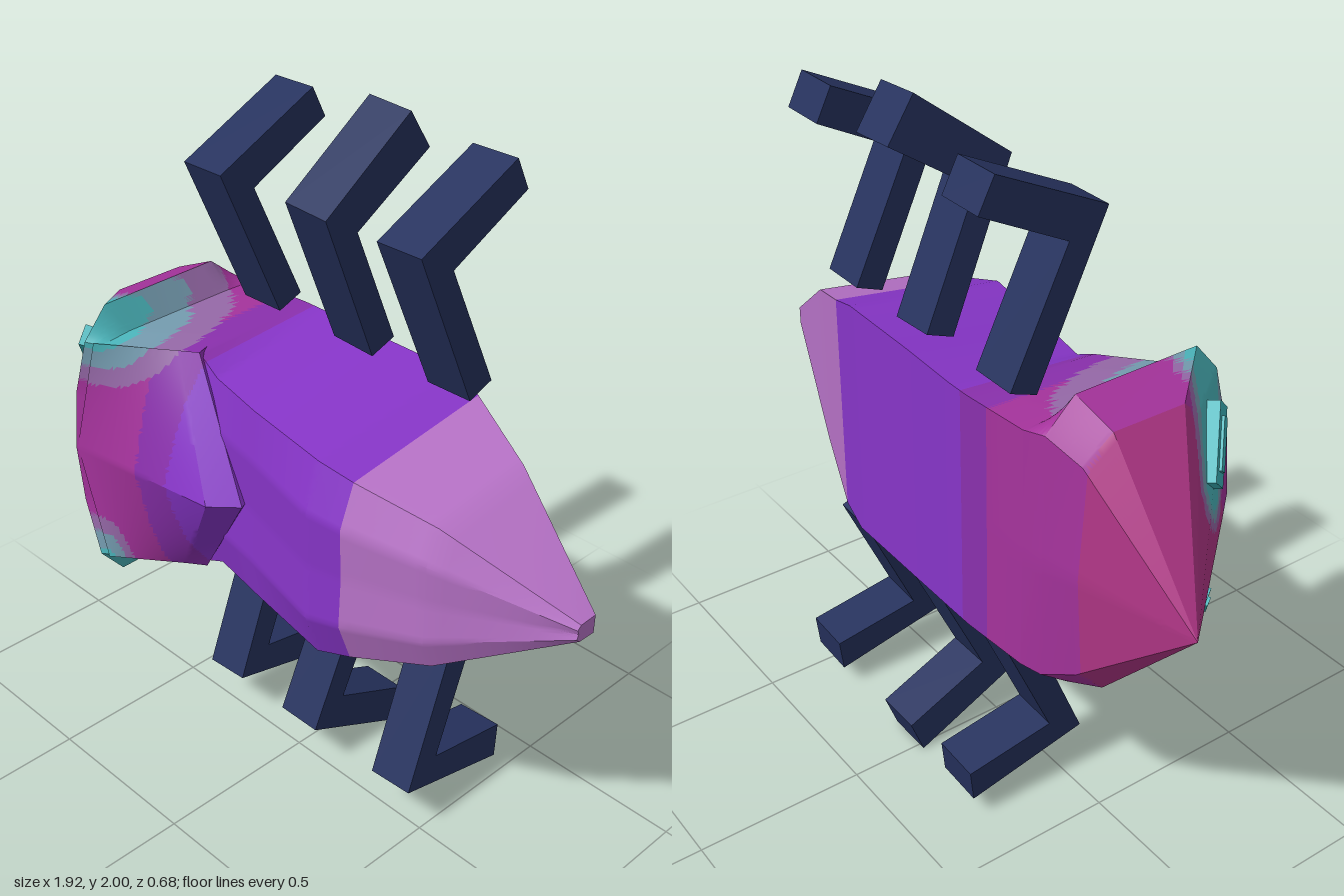
import * as THREE from 'three';
import { toCreasedNormals } from 'three/addons/utils/BufferGeometryUtils.js';

const CY = 0.965; // height of the body's long axis

const paint = (name, color) => {
  const m = new THREE.MeshStandardMaterial({ color });
  m.name = name;
  return m;
};

const skin = [
  paint('purple shell', 0x8735c8),
  paint('plum shell', 0x8a30ad),
  paint('magenta shell', 0xa5339c),
  paint('pink snout', 0xb03686),
  paint('lilac tail', 0xb873c8),
  paint('teal glow', 0x4bb6bc),
  paint('grey teal glow', 0x759cb0),
  paint('mauve glow', 0x9669a8),
];
const eyePaint = paint('teal eyes', 0x3cb4ba);
const legPaint = paint('navy legs', 0x26325e);

// Glow around each eye on the face, and spreading back from each rim corner
const eyeLine = new THREE.Line3(
  new THREE.Vector3(-0.67, 0.155, 0.18), new THREE.Vector3(-0.51, 0.4, 0.27));
function glow(p, normal) {
  const q = new THREE.Vector3(p.x, Math.abs(p.y - CY), p.z);
  const near = eyeLine.closestPointToPoint(q, true, new THREE.Vector3());
  const level = (d, limits) => limits.findIndex((limit) => d < limit);
  if (normal.x < -0.05) return level(near.distanceTo(q), [0.075, 0.1, 0.125]);
  const spread = p.y > CY ? 1.3 : 4;
  const back = Math.hypot(
    spread * Math.max(0, p.x + 0.48), 1.6 * (q.y - 0.39), 0.6 * (p.z - 0.28));
  return level(back, [0.1, 0.185, 0.27]);
}

// Glow first, then bands along the body
function zone(p, normal) {
  const g = glow(p, normal);
  if (g >= 0) return 5 + g;
  if (p.x < -0.63) return 3;
  if (p.x < -0.33) return 2;
  if (p.x < -0.22) return 1;
  return p.x < 0.41 ? 0 : 4;
}

// Finely divided skin over rows of points, coloured by zone
function loft(name, rows, closed, rowSteps = 8, colSteps = 6) {
  const fine = rows.map((row) => {
    const out = [];
    const n = closed ? row.length : row.length - 1;
    for (let i = 0; i < n; i++)
      for (let k = 0; k < colSteps; k++)
        out.push(row[i].clone().lerp(row[(i + 1) % row.length], k / colSteps));
    out.push(row[closed ? 0 : n].clone());
    return out;
  });
  const grid = [];
  for (let i = 0; i < fine.length - 1; i++)
    for (let k = 0; k < rowSteps; k++)
      grid.push(fine[i].map((p, j) => p.clone().lerp(fine[i + 1][j], k / rowSteps)));
  grid.push(fine[fine.length - 1]);

  const lists = skin.map(() => []);
  const add = (...t) => {
    const tri = new THREE.Triangle(...t);
    if (tri.getArea() < 1e-9) return;
    const middle = tri.getMidpoint(new THREE.Vector3());
    const list = lists[zone(middle, tri.getNormal(new THREE.Vector3()))];
    t.forEach((p) => list.push(p.x, p.y, p.z));
  };
  for (let i = 0; i < grid.length - 1; i++)
    for (let j = 0; j < grid[i].length - 1; j++) {
      const [a, b, c, d] = [grid[i][j], grid[i + 1][j], grid[i + 1][j + 1], grid[i][j + 1]];
      add(a, b, c);
      add(a, c, d);
    }
  let geo = new THREE.BufferGeometry();
  geo.setAttribute('position', new THREE.Float32BufferAttribute(lists.flat(), 3));
  geo = toCreasedNormals(geo, 0.45);
  let start = 0;
  lists.forEach((l, i) => {
    if (l.length) geo.addGroup(start, l.length / 3, i);
    start += l.length / 3;
  });
  const mesh = new THREE.Mesh(geo, skin);
  mesh.name = name;
  return mesh;
}

// Ring from half a section [x, half width, z], front middle to back middle
function ring(half, cy = CY) {
  const up = half.map(([x, w, z]) => new THREE.Vector3(x, cy + w, z));
  const down = half.slice(1, -1).reverse().map(([x, w, z]) => new THREE.Vector3(x, cy - w, z));
  return [...up, ...down];
}

// Body section: back and front half widths, back, front corner and front middle depths
const station = (x, wb, wf, zb, zf, zm) => ring([
  [x, 0, zm - 0.006], [x, wf * 0.55, zm], [x, wf, zf],
  [x, wf + (wb - wf) * 0.3, zf + (zb - zf) * 0.3],
  [x, wf + (wb - wf) * 0.8, zf + (zb - zf) * 0.8], [x, wb, zb], [x, 0, zb],
]);

// Leg: bent bar drawn in the side plane and extruded across
function leg(name, x, side, tilt, end) {
  const pts = [[-0.15, 0], [0.05, 0.45], ...end, [-0.065, 0.385], [-0.23, 0.03]];
  const shape = new THREE.Shape(pts.map(([z, y]) => new THREE.Vector2(z, y * side)));
  const geo = new THREE.ExtrudeGeometry(shape, { depth: 0.142, bevelEnabled: false });
  geo.translate(0, 0, -0.071).rotateY(-Math.PI / 2);
  const mesh = new THREE.Mesh(geo, legPaint);
  mesh.name = name;
  mesh.position.set(x, side > 0 ? 1.34 : 0.61, 0);
  mesh.rotation.z = tilt;
  return mesh;
}

// Eye: slanted raised bar with a narrower ridge, on one side of the head
function eye(name, side, x, offset) {
  const group = new THREE.Group();
  group.name = name;
  const along = new THREE.Vector3(0.13, 0.17 * side, 0.12).normalize();
  const out = new THREE.Vector3(-0.76, 0.28 * side, 0.58);
  out.addScaledVector(along, -out.dot(along)).normalize();
  const across = new THREE.Vector3().crossVectors(along, out);
  group.quaternion.setFromRotationMatrix(new THREE.Matrix4().makeBasis(across, along, out));
  group.position.set(x, CY + offset * side, 0.195).addScaledVector(out, 0.012);
  for (const [w, l, h] of [[0.06, 0.21, 0.035], [0.025, 0.14, 0.05]]) {
    const bar = new THREE.Mesh(new THREE.BoxGeometry(w, l, h), eyePaint);
    bar.name = 'eyeBar';
    group.add(bar);
  }
  return group;
}

export function createModel() {
  const model = new THREE.Group();
  model.name = 'beetle';

  // Head: pointed snout widening to a flared rim, then stepping down to the body
  const snout = ring(Array.from({ length: 7 }, () => [-0.96, 0, -0.12]), 0.945);
  const cheeks = ring([[-0.64, 0, 0.25], [-0.63, 0.18, 0.22], [-0.62, 0.33, 0.16],
    [-0.63, 0.385, 0.1], [-0.63, 0.385, -0.12], [-0.62, 0.31, -0.2], [-0.62, 0, -0.22]]);
  const rim = ring([[-0.56, 0, 0.34], [-0.55, 0.18, 0.33], [-0.5, 0.35, 0.325],
    [-0.5, 0.437, 0.25], [-0.51, 0.437, -0.14], [-0.52, 0.36, -0.235], [-0.53, 0, -0.247]]);
  const neck = ring([[-0.5, 0, 0.3], [-0.48, 0.18, 0.3], [-0.46, 0.345, 0.3],
    [-0.46, 0.355, 0.2], [-0.46, 0.358, -0.15], [-0.46, 0.355, -0.255], [-0.47, 0, -0.26]]);
  model.add(loft('head', [snout, cheeks, rim, neck], true, 24, 10));

  // Body between neck and tail
  const tailStart = station(0.41, 0.335, 0.27, -0.245, 0.21, 0.255);
  model.add(loft('body', [
    neck,
    station(-0.25, 0.355, 0.34, -0.27, 0.13, 0.16),
    station(-0.17, 0.355, 0.3, -0.27, 0.14, 0.17),
    station(0.02, 0.36, 0.295, -0.265, 0.18, 0.205),
    station(0.31, 0.363, 0.295, -0.26, 0.23, 0.275),
    tailStart,
  ], true, 14, 10));

  // Tail narrowing to a blunt tip
  model.add(loft('tail', [
    tailStart,
    station(0.63, 0.255, 0.21, -0.17, 0.14, 0.18),
    station(0.96, 0.027, 0.025, -0.065, -0.01, 0.002),
    ring(Array.from({ length: 7 }, () => [0.96, 0, -0.03])),
  ], true));

  // Shoulder plate: pointed shield over the front of the body
  const shield = (xm, zm, xs, zs, w) => [-1, -0.5, 0, 0.5, 1].map((v) => {
    const t = Math.abs(v);
    return new THREE.Vector3(xm + (xs - xm) * t, CY + v * w, zm + (zs - zm) * t);
  });
  model.add(loft('shoulderPlate', [
    shield(-0.555, 0.338, -0.475, 0.315, 0.352),
    shield(-0.07, 0.28, -0.29, 0.175, 0.35),
    shield(0, 0.212, -0.24, 0.14, 0.35),
    shield(-0.05, 0.1, -0.27, 0.08, 0.34),
  ], false, 24, 14));

  // Eyes
  model.add(eye('upperEye', 1, -0.63, 0.235), eye('lowerEye', -1, -0.62, 0.25));

  // Three bent legs on each side
  const long = [[-0.23, 0.66], [-0.31, 0.545]];
  const short = [[-0.28, 0.605], [-0.325, 0.515]];
  const low = [[-0.32, 0.535], [-0.335, 0.43]];
  model.add(
    leg('upperFrontLeg', -0.305, 1, 0.012, short),
    leg('upperMiddleLeg', 0.05, 1, -0.05, long),
    leg('upperRearLeg', 0.39, 1, 0.012, short),
    leg('lowerFrontLeg', -0.3, -1, 0.065, low),
    leg('lowerMiddleLeg', 0.05, -1, 0, [[-0.28, 0.608], [-0.32, 0.5]]),
    leg('lowerRearLeg', 0.395, -1, 0.065, low),
  );
  return model;
}
